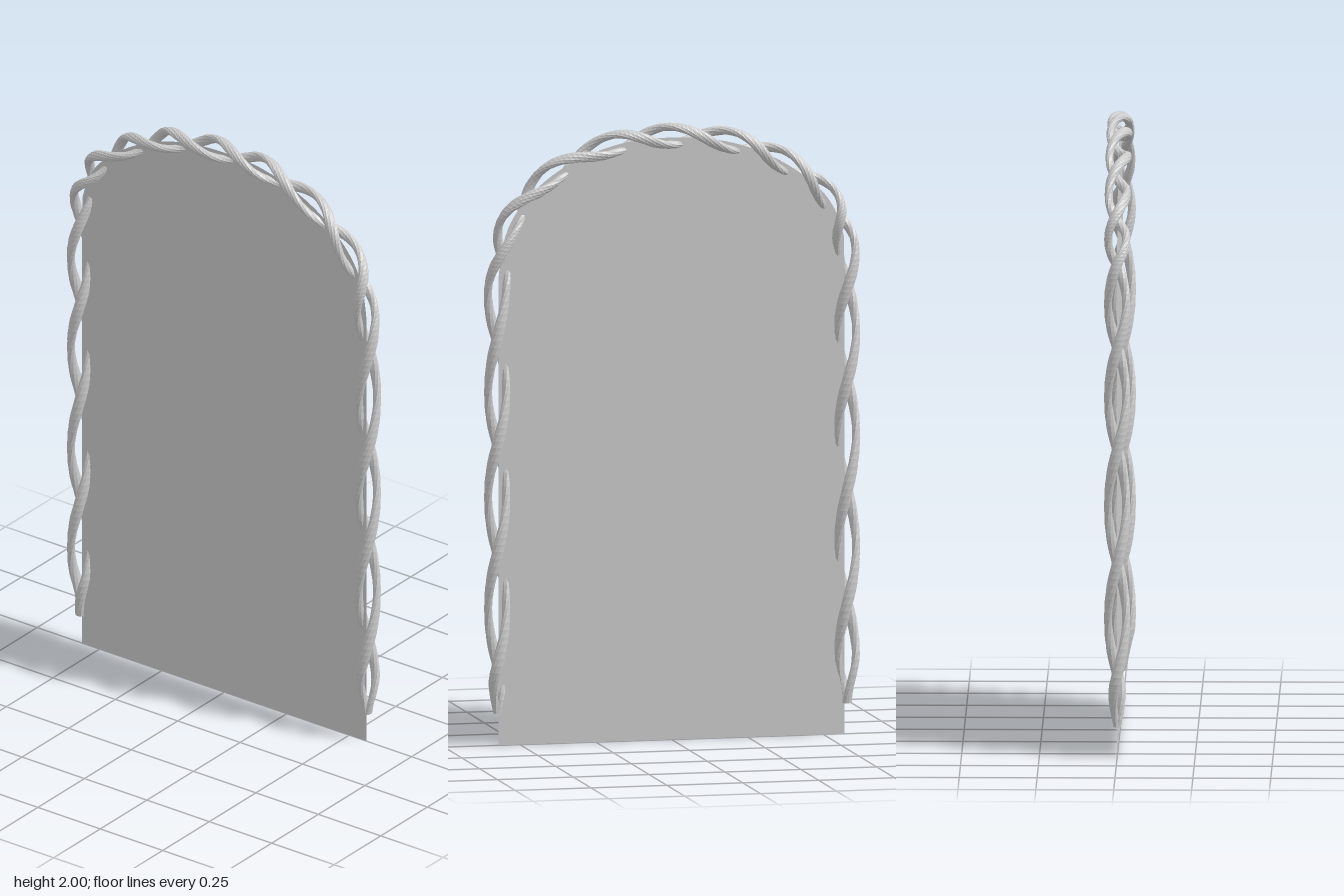
import * as THREE from 'three';
import { ParametricGeometry } from 'three/addons/geometries/ParametricGeometry.js';

// Centre line of the vine frame: one point per half turn of the twist
const path = new THREE.CatmullRomCurve3([
  [-0.578, -0.1], [-0.578, 0.27], [-0.578, 0.63], [-0.578, 1.0], [-0.578, 1.33],
  [-0.572, 1.6], [-0.515, 1.745], [-0.37, 1.865], [-0.2, 1.935], [0, 1.958],
  [0.19, 1.938], [0.39, 1.85], [0.53, 1.7], [0.573, 1.5], [0.575, 1.17],
  [0.575, 0.83], [0.575, 0.47], [0.575, 0.11], [0.575, -0.2],
].map(([x, y]) => new THREE.Vector3(x, y, 0)));
const pointAt = (k) => path.getPoint((k + 1) / 18);

const K0 = -0.46, K1 = 16.02;   // range of half turns covered by the vines
const TWIST = 0.029;            // distance of a strand from the centre line
const THICK = 0.013, WIDE = 0.019; // half sizes of the flattened strand
const RINGS = 260, SIDES = 10;
const Z = new THREE.Vector3(0, 0, 1);

// One strand with an oval section winding around the path
function strandGeometry(phase) {
  return new ParametricGeometry((u, v, target) => {
    const ring = Math.round(u * RINGS);
    const t = THREE.MathUtils.clamp((ring - 1) / (RINGS - 2), 0, 1);
    const k = K0 + (K1 - K0) * t;
    const c = pointAt(k);
    const tan = path.getTangent((k + 1) / 18);
    const n = new THREE.Vector3(-tan.y, tan.x, 0);
    const angle = Math.PI * k + phase;
    const out = n.clone().multiplyScalar(Math.cos(angle)).addScaledVector(Z, Math.sin(angle));
    const side = n.clone().multiplyScalar(Math.sin(angle)).addScaledVector(Z, -Math.cos(angle));
    // strands meet at both tips; first and last rings close the ends
    const ease = THREE.MathUtils.smoothstep(Math.min(k - K0, K1 - k), -0.1, 0.45);
    const size = ring === 0 || ring === RINGS ? 0 : 0.75 + 0.25 * ease;
    const a = v * Math.PI * 2;
    target.copy(c)
      .addScaledVector(out, TWIST * ease + THICK * size * Math.cos(a))
      .addScaledVector(side, WIDE * size * Math.sin(a));
  }, RINGS, SIDES);
}

export function createModel() {
  const group = new THREE.Group();

  // Flat arched panel
  const outline = [new THREE.Vector2(0.57, 0), new THREE.Vector2(0.57, 1.5)];
  for (let i = 1; i < 64; i++) {
    const p = pointAt(12 - i / 8);
    outline.push(new THREE.Vector2(THREE.MathUtils.clamp(p.x, -0.57, 0.57), p.y - 0.006));
  }
  outline.push(new THREE.Vector2(-0.57, 1.5), new THREE.Vector2(-0.57, 0));
  const panel = new THREE.Mesh(
    new THREE.ShapeGeometry(new THREE.Shape(outline)),
    new THREE.MeshStandardMaterial({ color: 0xcccccc, side: THREE.DoubleSide }));
  panel.name = 'archPanel';
  group.add(panel);

  // Two intertwined strands framing the arch
  const vineMaterial = new THREE.MeshStandardMaterial({ color: 0xcccccc });
  const frame = new THREE.Group();
  frame.name = 'twistedFrame';
  [0, Math.PI].forEach((phase, i) => {
    const strand = new THREE.Mesh(strandGeometry(phase), vineMaterial);
    strand.name = `vineStrand${i + 1}`;
    frame.add(strand);
  });
  group.add(frame);
  return group;
}
